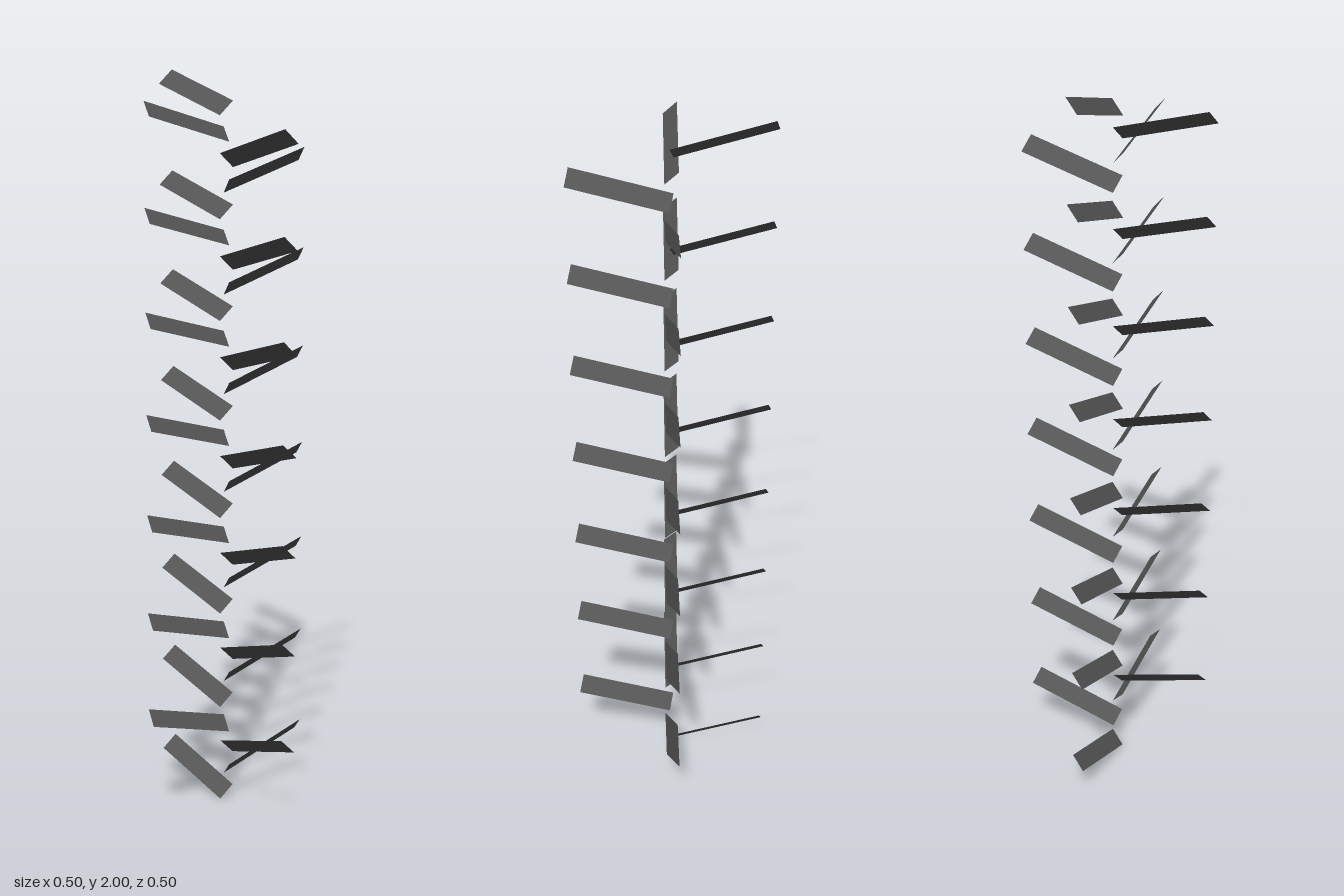
import * as THREE from 'three';

const BLADES = 29;
const LENGTH = 0.25; // reach of a blade from the axis
const HALF = 0.0187; // half the pitched width, equal in y and z
const RISE = 0.0735; // climb and sideways sweep from root to tip
const STEP = (2 - RISE - 2 * HALF) / (BLADES - 1);

// One thin, pitched blade pointing along +x, rising and sweeping back to its tip
function bladeGeometry() {
  const geo = new THREE.PlaneGeometry(1, 1);
  const p = geo.attributes.position;
  for (let i = 0; i < p.count; i++) {
    const along = p.getX(i) + 0.5;
    const across = -p.getY(i) * 2; // -1 back edge, +1 front edge
    p.setXYZ(
      i,
      along * LENGTH,
      HALF * (1 + across) + along * RISE,
      HALF * across - along * RISE
    );
  }
  geo.computeVertexNormals();
  return geo;
}

export function createModel() {
  const model = new THREE.Group();
  model.name = 'spiralBlades';
  const geometry = bladeGeometry();
  const material = new THREE.MeshStandardMaterial({ color: 0x555555, side: THREE.DoubleSide });

  // Climb the axis, starting at the back and turning a quarter turn per blade
  for (let i = 0; i < BLADES; i++) {
    const blade = new THREE.Mesh(geometry, material);
    blade.name = `blade${i + 1}`;
    blade.position.y = i * STEP;
    blade.rotation.y = (Math.PI / 2) * (1 - (i % 4));
    model.add(blade);
  }
  return model;
}
